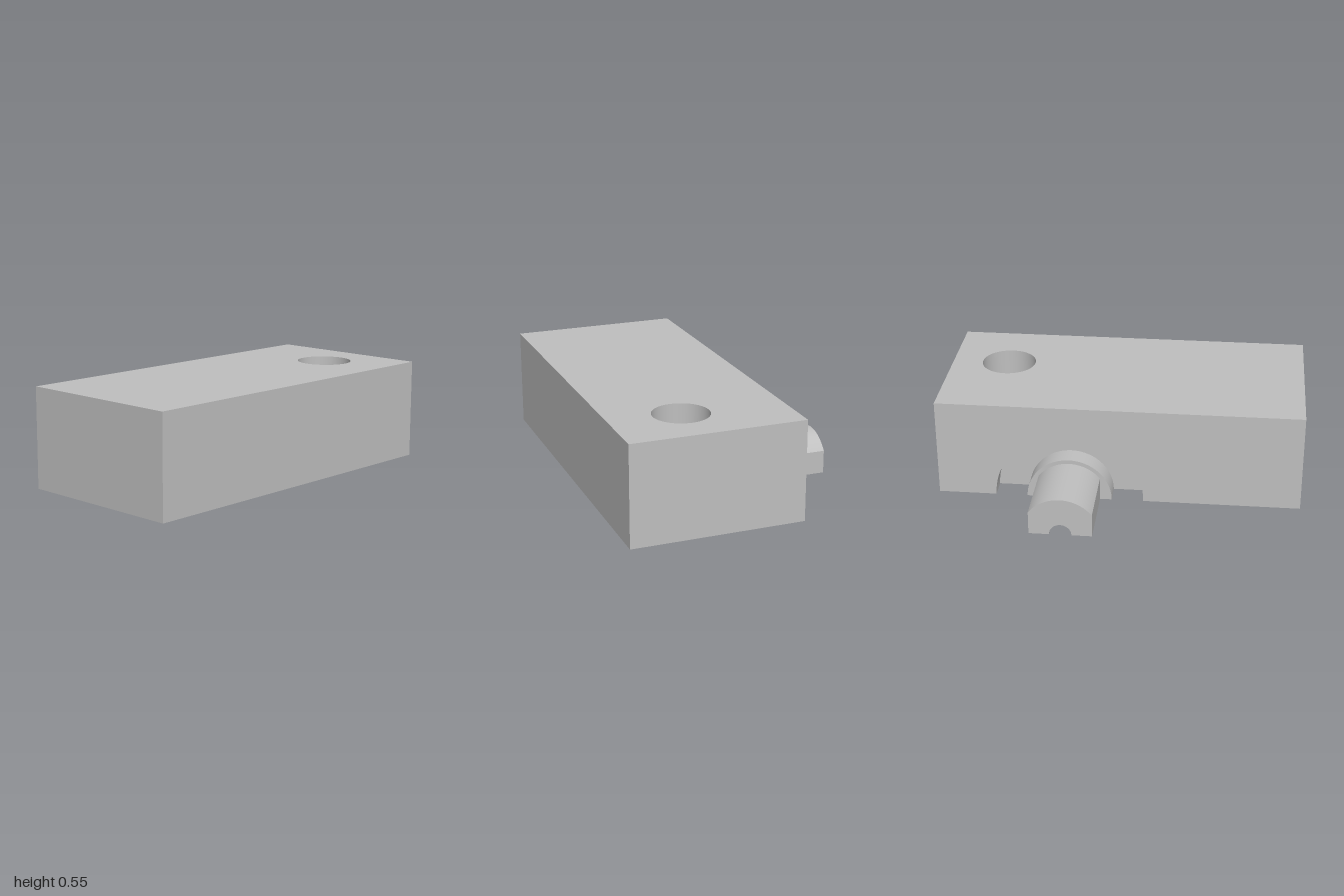
import * as THREE from 'three';
import { toCreasedNormals } from 'three/addons/utils/BufferGeometryUtils.js';

// Main dimensions
const X0 = -0.28, X1 = 0.665, H = 0.55, Z1 = 1;   // block
const ZC = -0.27;                                 // axis of the side shaft
const RECESS_X = -0.165, RECESS_R = 0.41, COLLAR_R = 0.235;
const STUB_X = -0.665, STUB_R = 0.213, STUB_HALF = 0.17;
const GROOVE_X = -0.03, GROOVE_R = 0.06;
const PX = 0.195, PZ = 0.42, PR = 0.127, PD = 0.10; // round pocket
const CW = 0.09, CZ = -0.335, CD = 0.13;            // channel

// Sections are drawn in 2D and placed on a plane normal to the named axis
const place = {
  x: (a, b, d) => [d, b, a], // a = z, b = y
  y: (a, b, d) => [a, d, b], // a = x, b = z
  z: (a, b, d) => [a, b, d],
};

function arc(cx, cy, r, t0, t1, n = 40) {
  return Array.from({ length: n + 1 }, (_, i) => {
    const t = t0 + (t1 - t0) * i / n;
    return [cx + r * Math.cos(t), cy + r * Math.sin(t)];
  });
}
const rect = (a0, b0, a1, b1) => [[a0, b0], [a1, b0], [a1, b1], [a0, b1]];
const halfArc = (r) => arc(ZC, 0, r, 0, Math.PI);
const reversed = (pts) => pts.slice().reverse();

export function createModel() {
  const grey = new THREE.MeshStandardMaterial({ color: 0xbfbfbf, side: THREE.DoubleSide });
  grey.name = 'plain grey';
  const model = new THREE.Group();
  model.name = 'slottedBlock';

  function part(name) {
    const g = new THREE.Group();
    g.name = name;
    model.add(g);
    return g;
  }
  function addMesh(group, name, geo) {
    const mesh = new THREE.Mesh(geo, grey);
    mesh.name = name;
    group.add(mesh);
  }

  // Flat face facing the given sign of its axis
  function face(group, name, axis, d, sign, outline, holes = []) {
    const vec = (pts) => pts.map(([a, b]) => new THREE.Vector2(a, b));
    const shape = new THREE.Shape(vec(outline));
    holes.forEach((h) => shape.holes.push(new THREE.Path(vec(h))));
    const flat = new THREE.ShapeGeometry(shape);
    const p = flat.attributes.position, idx = Array.from(flat.index.array);
    for (let i = 0; i < p.count; i++) p.setXYZ(i, ...place[axis](p.getX(i), p.getY(i), d));
    if (axis === 'z' ? sign < 0 : sign > 0) idx.reverse();
    flat.setIndex(idx);
    flat.computeVertexNormals();
    addMesh(group, name, flat);
  }

  // Wall swept along an axis; a counter-clockwise section faces outward
  function wall(group, name, axis, d0, d1, section, closed = false) {
    const pts = closed ? [...section, section[0]] : section;
    const pos = [];
    for (let i = 0; i + 1 < pts.length; i++) {
      const [p, q] = axis === 'z' ? [pts[i], pts[i + 1]] : [pts[i + 1], pts[i]];
      const A = place[axis](...p, d0), B = place[axis](...q, d0);
      const C = place[axis](...q, d1), D = place[axis](...p, d1);
      pos.push(...A, ...B, ...C, ...A, ...C, ...D);
    }
    const geo = new THREE.BufferGeometry();
    geo.setAttribute('position', new THREE.Float32BufferAttribute(pos, 3));
    addMesh(group, name, toCreasedNormals(geo, 0.4));
  }

  // Shared sections
  const hole = arc(0.275, -0.68, 0.152, 0, Math.PI * 2, 64).slice(0, -1);
  const cut = Math.acos(CW / PR);
  const pocketArc = arc(PX, PZ, PR, -cut, Math.PI + cut, 48);
  const slot = [[PX - CW, CZ], [PX + CW, CZ], ...pocketArc];
  const flatTop = Math.acos(STUB_HALF / STUB_R);
  const stub = [
    [ZC + STUB_HALF, 0],
    ...arc(ZC, 0, STUB_R, flatTop, Math.PI - flatTop),
    [ZC - STUB_HALF, 0],
  ];

  // Block shell
  const block = part('block');
  face(block, 'topFace', 'y', H, 1, rect(X0, -Z1, X1, Z1), [hole]);
  face(block, 'frontFace', 'z', Z1, 1, rect(X0, 0, X1, H));
  face(block, 'backFace', 'z', -Z1, -1, rect(X0, 0, X1, H));
  face(block, 'leftFace', 'x', X1, 1, rect(-Z1, 0, Z1, H));
  face(block, 'archedRightFace', 'x', X0, -1,
    [[Z1, 0], [Z1, H], [-Z1, H], [-Z1, 0], ...reversed(halfArc(RECESS_R))]);

  // Underside, following the recess, collar, stub and groove
  const sideSteps = [
    [X0, RECESS_R], [RECESS_X, RECESS_R], [RECESS_X, COLLAR_R], [X0, COLLAR_R],
    [X0, STUB_HALF], [STUB_X, STUB_HALF], [STUB_X, GROOVE_R], [GROOVE_X, GROOVE_R],
  ];
  face(block, 'underside', 'y', 0, -1, [
    [X1, Z1], [X0, Z1],
    ...sideSteps.map(([x, w]) => [x, ZC + w]),
    ...reversed(sideSteps).map(([x, w]) => [x, ZC - w]),
    [X0, -Z1], [X1, -Z1],
  ], [hole, slot]);

  // Through hole
  wall(part('throughHole'), 'holeWall', 'y', 0, H, reversed(hole), true);

  // Arched recess in the side
  const recess = part('archedRecess');
  wall(recess, 'recessWall', 'x', X0, RECESS_X, reversed(halfArc(RECESS_R)));
  face(recess, 'recessBack', 'x', RECESS_X, -1,
    [...halfArc(RECESS_R), ...reversed(halfArc(COLLAR_R))]);

  // Half-round collar and flat-sided stub
  const shaft = part('sideShaft');
  wall(shaft, 'collarRim', 'x', X0, RECESS_X, halfArc(COLLAR_R));
  face(shaft, 'collarFace', 'x', X0, -1, [...halfArc(COLLAR_R), ...reversed(stub)]);
  wall(shaft, 'stubSurface', 'x', STUB_X, X0, stub);
  face(shaft, 'stubEnd', 'x', STUB_X, -1, [...stub, ...reversed(halfArc(GROOVE_R))]);

  // Half-round groove under the shaft
  const groove = part('shaftGroove');
  wall(groove, 'grooveWall', 'x', STUB_X, GROOVE_X, reversed(halfArc(GROOVE_R)));
  face(groove, 'grooveEnd', 'x', GROOVE_X, -1, halfArc(GROOVE_R));

  // Round pocket with the deeper channel running into its middle
  const under = part('pocketAndChannel');
  const channel = rect(PX - CW, CZ, PX + CW, PZ);
  wall(under, 'slotWall', 'y', 0, PD, reversed(slot), true);
  face(under, 'pocketCeiling', 'y', PD, -1, [...pocketArc, [PX - CW, PZ], [PX + CW, PZ]]);
  wall(under, 'channelWall', 'y', PD, CD, reversed(channel), true);
  face(under, 'channelCeiling', 'y', CD, -1, channel);

  return model;
}
